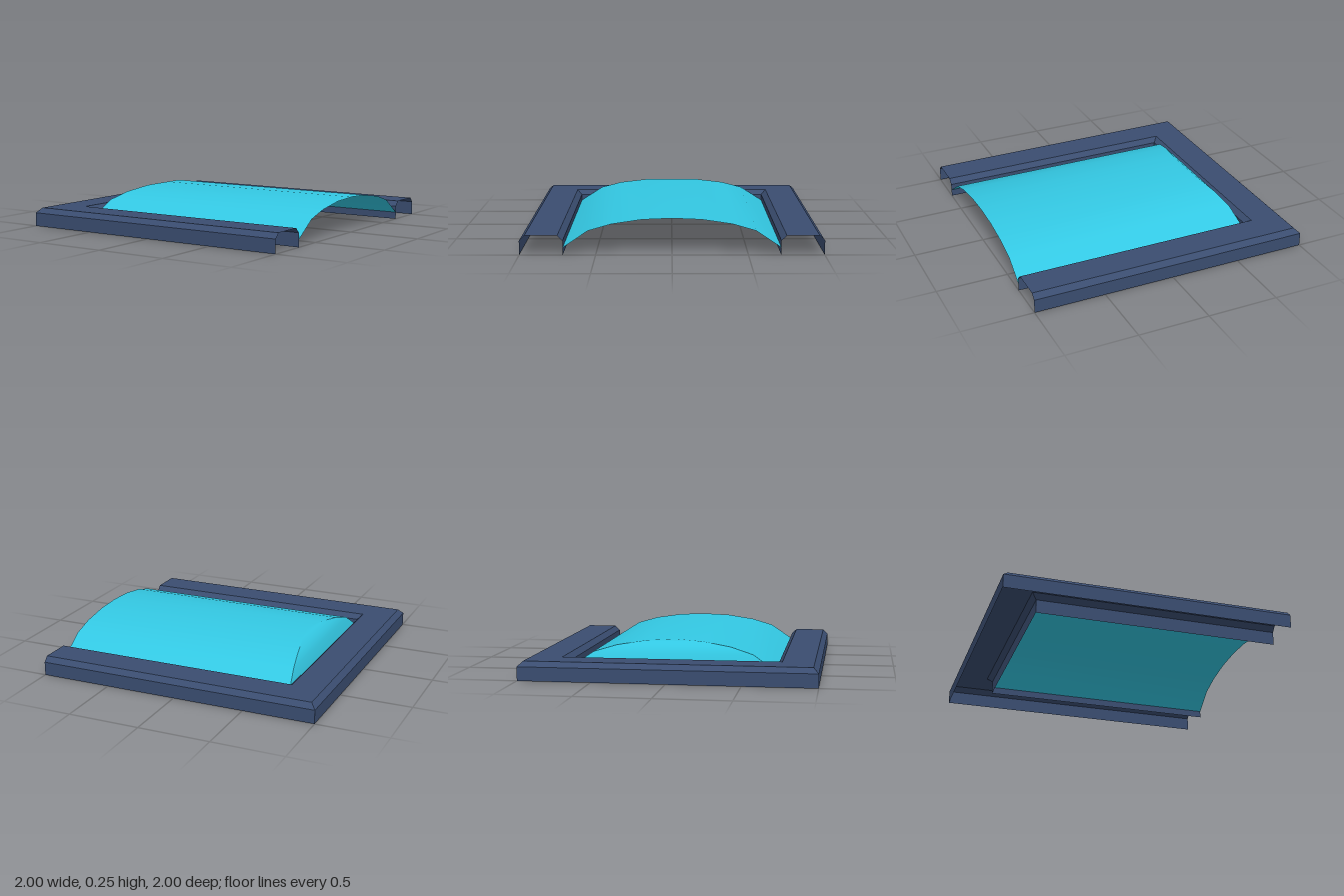
import * as THREE from 'three';
import { toCreasedNormals } from 'three/addons/utils/BufferGeometryUtils.js';

const material = (name, color) =>
  new THREE.MeshStandardMaterial({ name, color, side: THREE.DoubleSide });

// Sweeps a profile of [x inset, z inset, height] around three sides of a
// square, mitred at the corners and left open at x = 1.
function mitredShell(profile) {
  const rows = profile.map(([dx, dz, y]) => [
    [1, 1 - dz], [-1 + dx, 1 - dz], [-1 + dx, -1 + dz], [1, -1 + dz],
  ].map(([x, z]) => new THREE.Vector3(x, y, z)));
  const points = [];
  const addTriangle = (a, b, c) => {
    if (new THREE.Triangle(a, b, c).getArea() > 1e-7) points.push(a, b, c);
  };
  for (let i = 0; i < rows.length - 1; i++) {
    for (let j = 0; j < 3; j++) {
      const a = rows[i][j], b = rows[i][j + 1];
      const c = rows[i + 1][j], d = rows[i + 1][j + 1];
      addTriangle(a, c, b);
      addTriangle(b, c, d);
    }
  }
  return toCreasedNormals(new THREE.BufferGeometry().setFromPoints(points), Math.PI / 6);
}

export function createModel() {
  const group = new THREE.Group();
  group.name = 'vaultedSkylight';
  const add = (name, geometry, mat) => {
    const mesh = new THREE.Mesh(geometry, mat);
    mesh.name = name;
    group.add(mesh);
  };

  // Hollow U-shaped frame with chamfered top edges, open underneath
  const channel = [
    [0, 0], [0, 0.095], [0.035, 0.13], [0.25, 0.13], [0.285, 0.095], [0.285, 0],
  ];
  add('frame', mitredShell(channel.map(([d, y]) => [d, d, y])),
    material('slate blue', 0x3a4d70));

  // Thin vault with a steep hipped end: the end rises five times as fast
  const arch = [[0, 0.05], [0.165, 0.162], [0.32, 0.207], [0.52, 0.237], [0.715, 0.245]];
  add('vaultedPane', mitredShell(arch.map(([d, y]) => [0.285 + d / 5, 0.285 + d, y])),
    material('cyan glass', 0x33c8e3));

  return group;
}
